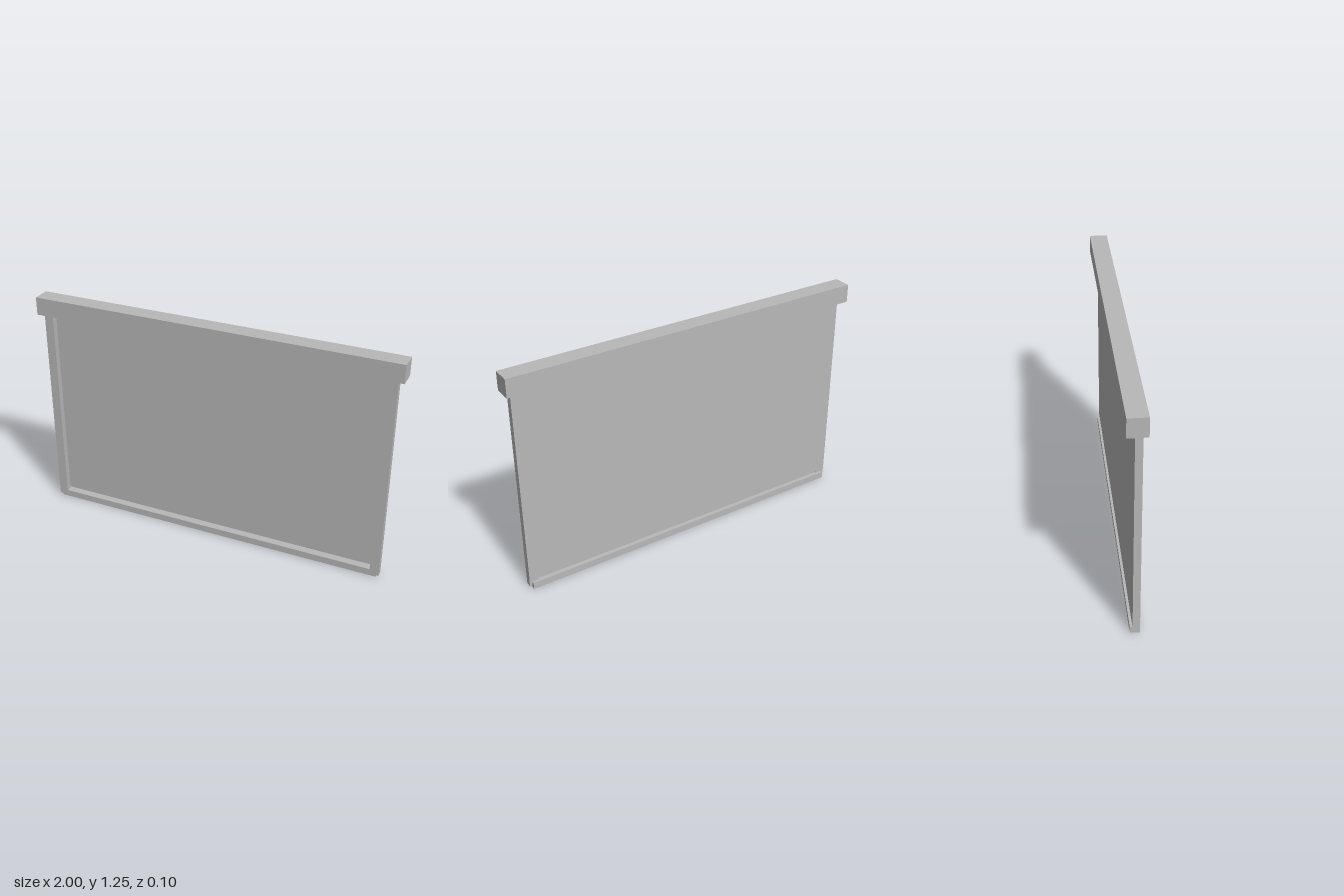
import * as THREE from 'three';

export function createModel() {
  const group = new THREE.Group();
  const grey = new THREE.MeshStandardMaterial({ color: 0xb8b8b8 });
  grey.name = 'grey';

  // Box given by its minimum and maximum corners
  const box = (name, [x0, y0, z0], [x1, y1, z1]) => {
    const mesh = new THREE.Mesh(new THREE.BoxGeometry(x1 - x0, y1 - y0, z1 - z0), grey);
    mesh.position.set((x0 + x1) / 2, (y0 + y1) / 2, (z0 + z1) / 2);
    mesh.name = name;
    group.add(mesh);
  };

  // Housing that holds the roller
  box('headBox', [-1, 1.147, -0.049], [1, 1.245, 0.049]);

  // Guide rails in front of the fabric edges
  box('leftRail', [0.918, 0.013, -0.005], [0.968, 1.147, 0.028]);
  box('rightRail', [-0.968, 0.013, -0.005], [-0.918, 1.147, 0.028]);

  // Thin fabric behind the rails, with narrow gaps above and below
  box('fabric', [-0.968, 0.048, -0.008], [0.968, 1.13, -0.005]);

  // Weighted bar along the bottom
  box('bottomBar', [-0.953, 0, -0.02], [0.953, 0.038, 0.024]);

  return group;
}
